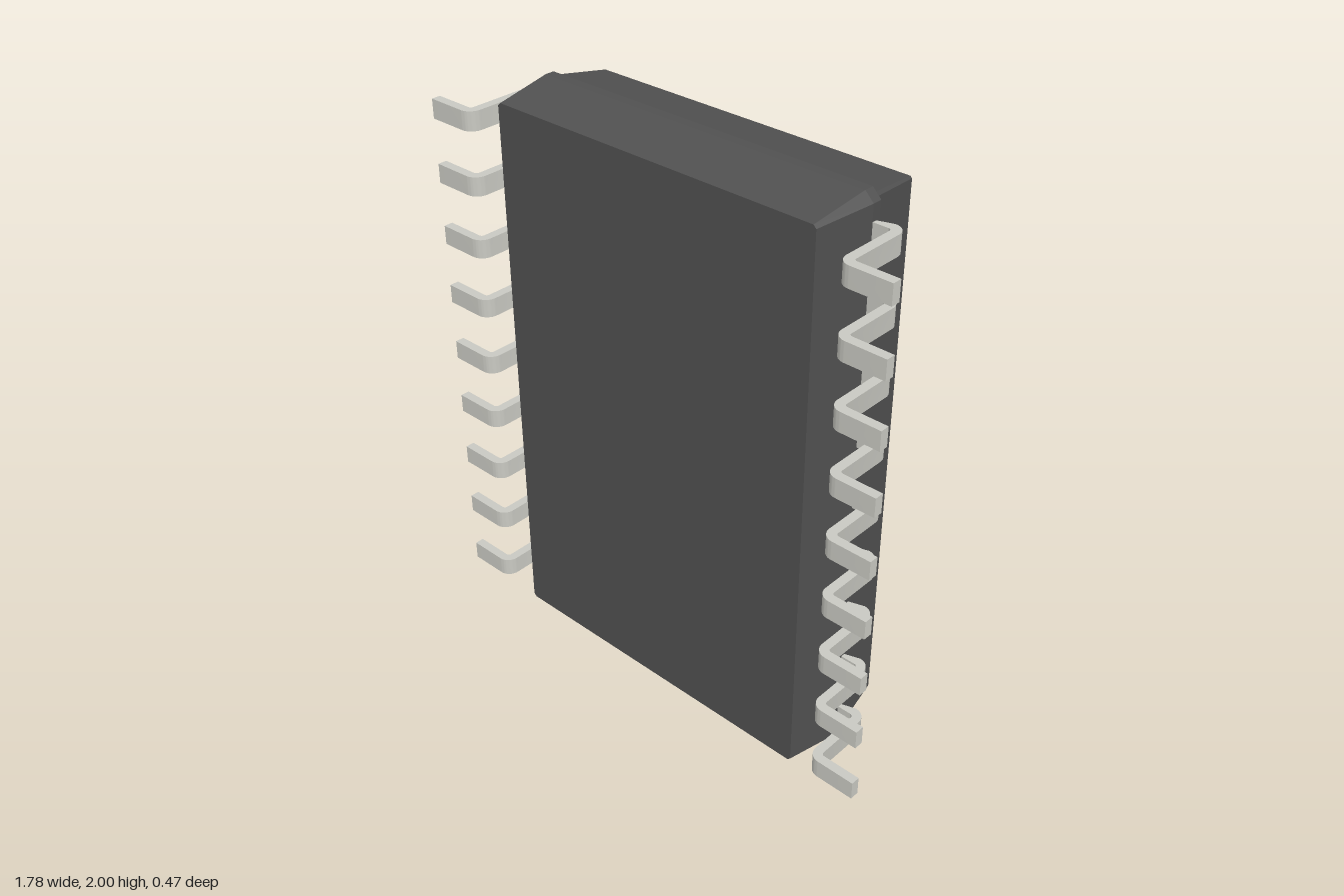
import * as THREE from 'three';
import { toCreasedNormals } from 'three/addons/utils/BufferGeometryUtils.js';

// Rectangle with cut corners, counter-clockwise seen from +z
function outline({ hx, y0, y1, c }) {
  return [
    [hx, y0 + c], [hx, y1 - c], [hx - c, y1], [c - hx, y1],
    [-hx, y1 - c], [-hx, y0 + c], [c - hx, y0], [hx - c, y0],
  ].map(([x, y]) => new THREE.Vector2(x, y));
}

// Side walls through cross-sections ordered from back to front
function loft(sections) {
  const pos = [];
  const rings = sections.map((s) => outline(s).map((p) => [p.x, p.y, s.z]));
  for (let k = 0; k + 1 < rings.length; k++) {
    const a = rings[k], b = rings[k + 1];
    for (let i = 0; i < a.length; i++) {
      const j = (i + 1) % a.length;
      pos.push(...a[i], ...a[j], ...b[j], ...a[i], ...b[j], ...b[i]);
    }
  }
  const geo = new THREE.BufferGeometry();
  geo.setAttribute('position', new THREE.Float32BufferAttribute(pos, 3));
  geo.computeVertexNormals();
  return geo;
}

// Flat end face; a backward one may carry a round hole
function endFace(section, backward, hole) {
  const shape = new THREE.Shape(outline(section));
  if (hole) {
    const path = new THREE.Path();
    path.absarc(-hole.x, hole.y, hole.r, 0, Math.PI * 2, true);
    shape.holes.push(path);
  }
  const geo = new THREE.ShapeGeometry(shape, 20);
  if (backward) geo.rotateY(Math.PI);
  return geo.translate(0, 0, section.z);
}

// Gull-wing lead: bent strip profile in x/z, extruded along y
function leadGeometry() {
  const t = 0.032, ro = 0.043, ri = ro - t;
  const s = new THREE.Shape();
  s.moveTo(0.6, -0.033);
  s.absarc(0.699, 0.01, ro, -Math.PI / 2, 0, false);
  s.absarc(0.753, 0.193, ri, Math.PI, Math.PI / 2, true);
  s.lineTo(0.89, 0.204);
  s.lineTo(0.89, 0.236);
  s.absarc(0.753, 0.193, ro, Math.PI / 2, Math.PI, false);
  s.absarc(0.699, 0.01, ri, 0, -Math.PI / 2, true);
  s.lineTo(0.6, -0.001);
  s.closePath();
  const h = 0.066;
  const geo = new THREE.ExtrudeGeometry(s, { depth: h, bevelEnabled: false, curveSegments: 8 });
  geo.translate(0, 0, -h / 2).rotateX(Math.PI / 2);
  return toCreasedNormals(geo, 0.6);
}

export function createModel() {
  const model = new THREE.Group();
  model.name = 'chipPackage';
  const dark = new THREE.MeshStandardMaterial({ color: 0x505050 });
  const darkInside = new THREE.MeshStandardMaterial({ color: 0x505050, side: THREE.BackSide });
  const metal = new THREE.MeshStandardMaterial({ color: 0xc9c9c2 });
  const add = (parent, name, geo, mat) => {
    const mesh = new THREE.Mesh(geo, mat);
    mesh.name = name;
    parent.add(mesh);
    return mesh;
  };

  // Front half of the body, slightly wider at the seam
  const seam = -0.033;
  const front = [
    { z: seam, hx: 0.647, y0: 0, y1: 2, c: 0.03 },
    { z: 0, hx: 0.647, y0: 0, y1: 2, c: 0.03 },
    { z: 0.2, hx: 0.615, y0: 0.035, y1: 1.968, c: 0.01 },
  ];
  const frontHalf = new THREE.Group();
  frontHalf.name = 'frontHalf';
  add(frontHalf, 'frontWalls', loft(front), dark);
  add(frontHalf, 'frontFace', endFace(front[2], false), dark);
  add(frontHalf, 'seamLedge', endFace(front[0], true), dark);

  // Back half with the round pin-one recess
  const back = [
    { z: -0.236, hx: 0.602, y0: 0.05, y1: 1.955, c: 0.006 },
    { z: seam, hx: 0.635, y0: 0.014, y1: 1.986, c: 0.01 },
  ];
  const dot = { x: 0.46, y: 1.82, r: 0.05, depth: 0.015 };
  const backHalf = new THREE.Group();
  backHalf.name = 'backHalf';
  add(backHalf, 'backWalls', loft(back), dark);
  add(backHalf, 'backFace', endFace(back[0], true, dot), dark);
  const wall = new THREE.CylinderGeometry(dot.r, dot.r, dot.depth, 40, 1, true).rotateX(Math.PI / 2);
  add(backHalf, 'recessWall', wall, darkInside).position.set(dot.x, dot.y, back[0].z + dot.depth / 2);
  const floor = new THREE.CircleGeometry(dot.r, 40).rotateY(Math.PI);
  add(backHalf, 'recessFloor', floor, metal).position.set(dot.x, dot.y, back[0].z + dot.depth);
  model.add(frontHalf, backHalf);

  // Nine leads down each side
  const leadGeo = leadGeometry();
  for (const side of ['left', 'right']) {
    const row = new THREE.Group();
    row.name = side + 'Leads';
    for (let i = 0; i < 9; i++) {
      const lead = add(row, side + 'Lead' + (i + 1), leadGeo, metal);
      lead.position.y = 1.003 + (i - 4) * 0.22;
      if (side === 'right') lead.rotation.z = Math.PI;
    }
    model.add(row);
  }
  return model;
}
